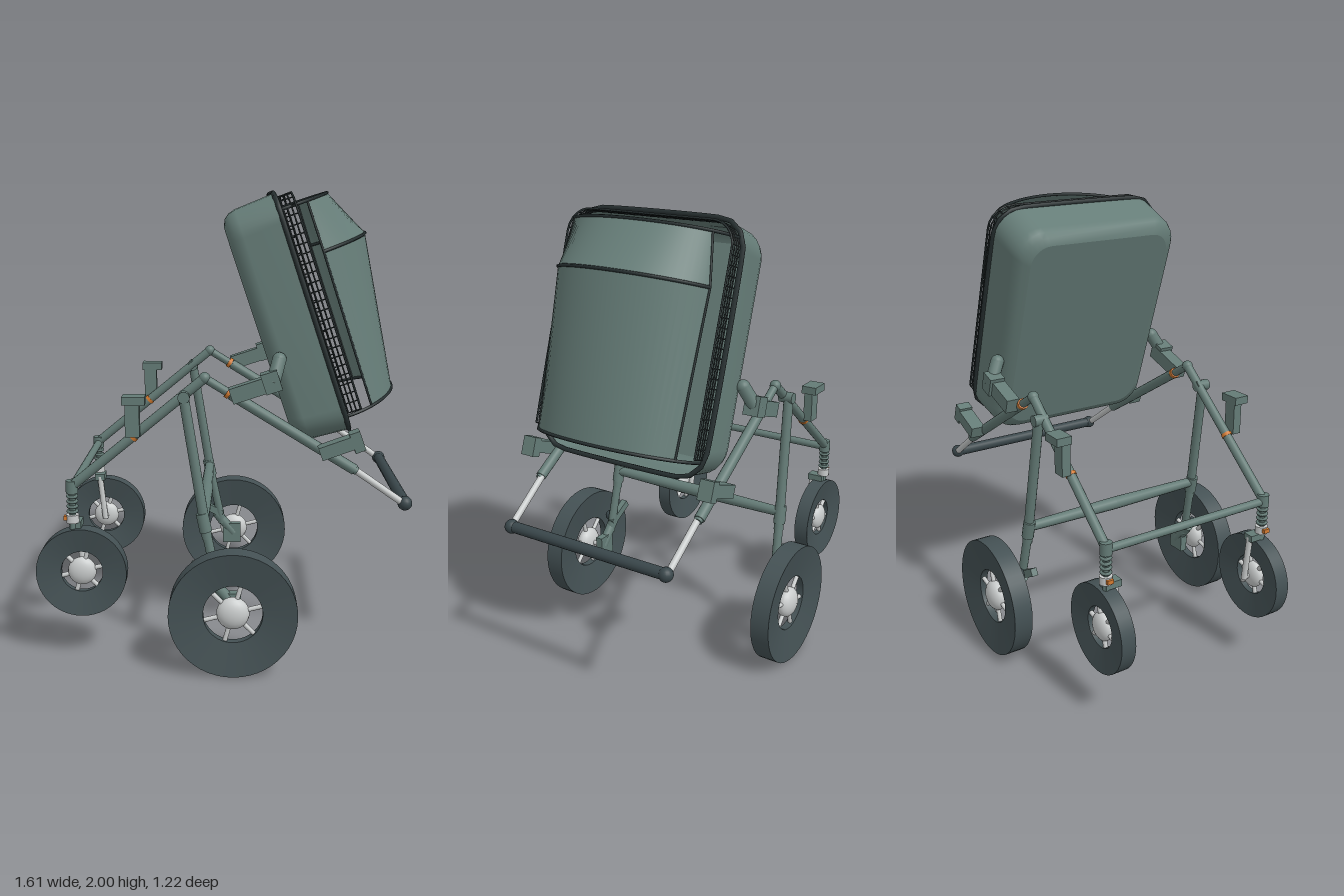
import * as THREE from 'three';

const mat = (name, color, side = THREE.FrontSide) => {
  const m = new THREE.MeshStandardMaterial({ color, side });
  m.name = name;
  return m;
};
const V = (x, y, z) => new THREE.Vector3(x, y, z);

export function createModel() {
  const body = mat('greyGreenFabric', 0x667d78, THREE.DoubleSide);
  const frame = mat('frameGreen', 0x647b76);
  const tyre = mat('tyreSlate', 0x445154);
  const dark = mat('darkTrim', 0x262f30);
  const grip = mat('gripSlate', 0x39464a);
  const silver = mat('hubSilver', 0xc9cccc);
  const orange = mat('orangeClip', 0xd27a30);

  const root = new THREE.Group();
  root.name = 'stroller';
  const add = (parent, name, geo, m, x = 0, y = 0, z = 0) => {
    const mesh = new THREE.Mesh(geo, m);
    mesh.name = name;
    mesh.position.set(x, y, z);
    parent.add(mesh);
    return mesh;
  };
  const rod = (parent, name, a, b, r, m, r2 = r, sides = 14) => {
    const d = b.clone().sub(a);
    const mesh = add(parent, name, new THREE.CylinderGeometry(r2, r, d.length(), sides), m);
    mesh.position.copy(a).addScaledVector(d, 0.5);
    mesh.quaternion.setFromUnitVectors(V(0, 1, 0), d.normalize());
    return mesh;
  };
  const box = (parent, name, w, h, d, x, y, z, m = frame, tilt = 0) => {
    const mesh = add(parent, name, new THREE.BoxGeometry(w, h, d), m, x, y, z);
    mesh.rotation.z = tilt;
    return mesh;
  };
  const ball = (parent, name, r, p, m) =>
    add(parent, name, new THREE.SphereGeometry(r, 18, 12), m, p.x, p.y, p.z);
  const tube = (parent, name, pts, r, m, closed = false) => add(parent, name,
    new THREE.TubeGeometry(new THREE.CatmullRomCurve3(pts, closed, 'centripetal'), pts.length * 2, r, 6, closed), m);

  // Smooth skin through rows of points
  const skin = (rows, closed) => {
    const n = rows[0].length, idx = [];
    for (let i = 0; i < rows.length - 1; i++)
      for (let j = 0; j < (closed ? n : n - 1); j++) {
        const a = i * n + j, b = i * n + (j + 1) % n;
        idx.push(a, b, a + n, b, b + n, a + n);
      }
    const g = new THREE.BufferGeometry().setFromPoints(rows.flat());
    g.setIndex(idx);
    g.computeVertexNormals();
    return g;
  };

  // Rounded rectangle in the seat's own frame: x is depth, y is length
  const loop = (x, hy, hz, r) => {
    const pts = [];
    [[1, 1], [-1, 1], [-1, -1], [1, -1]].forEach(([sy, sz], k) => {
      for (let i = 0; i <= 6; i++) {
        const a = k * Math.PI / 2 + i * Math.PI / 12;
        pts.push(V(x, sy * (hy - r) + r * Math.cos(a), sz * (hz - r) + r * Math.sin(a)));
      }
    });
    return pts;
  };

  // Reclined tub
  const seat = new THREE.Group();
  seat.name = 'carrycot';
  seat.position.set(0.367, 1.495, 0);
  seat.rotation.z = 0.326;
  root.add(seat);
  const tub = [[0, 0.52, 0.41, 0.12], [-0.17, 0.51, 0.405, 0.12], [-0.2, 0.502, 0.395, 0.115],
    [-0.222, 0.485, 0.378, 0.105], [-0.235, 0.455, 0.348, 0.09]].map(p => loop(...p));
  add(seat, 'tubWall', skin(tub, true), body);
  const capShape = new THREE.Shape(tub[4].map(p => new THREE.Vector2(p.z, p.y)));
  const cap = add(seat, 'tubBack', new THREE.ShapeGeometry(capShape), body, -0.235, 0, 0);
  cap.rotation.y = -Math.PI / 2;
  tube(seat, 'tubRim', loop(0, 0.52, 0.41, 0.12), 0.011, dark, true);

  // Ventilation mesh round the sides and the head end
  const mesh = new THREE.Group();
  mesh.name = 'ventMesh';
  seat.add(mesh);
  const path = x => {
    const l = loop(x, 0.5, 0.4, 0.1);
    return [V(x, -0.43, -0.4), ...l.slice(21), ...l.slice(0, 7), V(x, -0.43, 0.4)];
  };
  const uPath = x => {
    const c = new THREE.CurvePath(), p = path(x);
    for (let i = 0; i < p.length - 1; i++) c.add(new THREE.LineCurve3(p[i], p[i + 1]));
    return c;
  };
  [0.015, 0.032, 0.05, 0.07].forEach(x =>
    add(mesh, 'meshRail', new THREE.TubeGeometry(uPath(x), 90, x > 0.06 ? 0.005 : 0.0035, 5), dark));
  const inner = uPath(0.0).getSpacedPoints(64), outer = uPath(0.072).getSpacedPoints(64);
  inner.forEach((p, i) => rod(mesh, 'meshRung', p, outer[i], 0.003, dark, 0.003, 5));

  // Canopy: elliptical arcs, cut off above the mesh gap
  const arc = (y, h, cut) => {
    const t0 = Math.asin(cut / h), pts = [];
    for (let i = 0; i <= 28; i++) {
      const t = t0 + (Math.PI - 2 * t0) * i / 28;
      pts.push(V(h * Math.sin(t), y, 0.39 * Math.cos(t)));
    }
    return pts;
  };
  const hoops = [[0.449, 0.234], [0.234, 0.34], [-0.445, 0.254]];
  const arcs = hoops.map(([y, h]) => arc(y, h, 0.12));
  add(seat, 'canopyHead', skin([arcs[0], arcs[1]]), body);
  add(seat, 'canopyMain', skin([arcs[1], arcs[2]]), body);
  hoops.forEach(([y, h], i) => tube(seat, 'canopyHoop', arc(y, h, i === 1 ? 0.12 : 0), 0.007, dark));
  [0, 28].forEach(j => arcs.slice(1).forEach((a, i) => rod(seat, 'canopyEdge', arcs[i][j], a[j], 0.005, dark)));

  // Wheel with a dished tyre, spokes and a hub
  const wheel = (name, x, y, z, R, ri, w, hub) => {
    const g = new THREE.Group();
    g.name = name;
    g.position.set(x, y, z);
    root.add(g);
    const sides = [[ri, 0.2], [R, 0.5], [R, -0.5], [ri, -0.2], [ri, 0.2]];
    for (let i = 0; i < 4; i++) {
      const pts = [sides[i + 1], sides[i]].map(([r, f]) => new THREE.Vector2(r, f * w));
      add(g, 'tyre', new THREE.LatheGeometry(pts, 48), tyre).rotation.x = Math.PI / 2;
    }
    for (let i = 0; i < 6; i++) {
      const a = i * Math.PI / 3 + 0.25, c = Math.cos(a), s = Math.sin(a);
      rod(g, 'spoke', V(0, 0, 0), V(c * (ri + 0.005), s * (ri + 0.005), 0), 0.01, silver);
    }
    ball(g, 'hub', hub, V(0, 0, 0), silver).scale.z = w * 0.48 / hub;
  };

  // Chassis, mirrored to both sides
  for (const s of [1, -1]) {
    const P = (x, y, z) => V(x, y, s * z);
    const side = new THREE.Group();
    side.name = s > 0 ? 'leftChassis' : 'rightChassis';
    root.add(side);
    wheel('largeWheel', 0.04, 0.272, s * 0.568, 0.27, 0.125, 0.087, 0.07);
    wheel('smallWheel', -0.612, 0.395, s * 0.405, 0.195, 0.09, 0.068, 0.062);

    // Main tubes
    rod(side, 'frontTube', P(-0.645, 0.775, 0.41), P(-0.08, 1.24, 0.41), 0.021, frame);
    rod(side, 'handleTube', P(-0.08, 1.24, 0.41), P(0.56, 0.845, 0.41), 0.018, frame);
    rod(side, 'handleSleeve', P(0.03, 1.172, 0.41), P(0.55, 0.851, 0.41), 0.023, frame);
    rod(side, 'handleExtension', P(0.55, 0.851, 0.405), P(0.765, 0.7, 0.4), 0.015, silver);
    ball(side, 'handleJoint', 0.031, P(0.77, 0.7, 0.395), grip);
    ball(side, 'topHinge', 0.025, P(-0.08, 1.24, 0.41), frame);
    rod(side, 'legHinge', P(-0.165, 1.165, 0.395), P(-0.165, 1.165, 0.46), 0.025, frame);
    rod(side, 'legTube', P(-0.165, 1.16, 0.435), P(-0.07, 0.56, 0.455), 0.022, frame);
    rod(side, 'legSleeve', P(-0.092, 0.67, 0.452), P(-0.075, 0.59, 0.455), 0.027, frame);

    // Large wheel suspension
    rod(side, 'shockAbsorber', P(-0.072, 0.58, 0.455), P(-0.02, 0.33, 0.468), 0.02, frame);
    rod(side, 'trailingArm', P(-0.05, 0.38, 0.47), P(0.04, 0.272, 0.475), 0.024, frame);
    box(side, 'axleBlock', 0.09, 0.1, 0.035, 0.03, 0.275, s * 0.472);
    box(side, 'armPlate', 0.14, 0.035, 0.03, -0.08, 0.41, s * 0.462, frame, -0.5);
    ball(side, 'brakeKnob', 0.026, P(-0.05, 0.4, 0.488), grip);
    rod(side, 'axle', P(0.04, 0.272, 0.47), P(0.04, 0.272, 0.56), 0.012, silver);

    // Small wheel post with spring and clip
    rod(side, 'forkCap', P(-0.645, 0.745, 0.41), P(-0.645, 0.8, 0.41), 0.026, frame);
    rod(side, 'forkPost', P(-0.645, 0.58, 0.41), P(-0.645, 0.75, 0.41), 0.014, frame);
    for (let i = 0; i < 4; i++) {
      const coil = add(side, 'springCoil', new THREE.TorusGeometry(0.019, 0.007, 6, 18), frame, -0.645, 0.665 + i * 0.022, s * 0.41);
      coil.rotation.x = Math.PI / 2;
    }
    rod(side, 'forkCollar', P(-0.645, 0.615, 0.41), P(-0.645, 0.65, 0.41), 0.028, silver);
    box(side, 'forkClip', 0.025, 0.018, 0.03, -0.67, 0.635, s * 0.41, orange);
    box(side, 'forkBridge', 0.05, 0.03, 0.075, -0.635, 0.603, s * 0.38);
    rod(side, 'forkArm', P(-0.635, 0.605, 0.355), P(-0.612, 0.385, 0.355), 0.014, silver);
    rod(side, 'smallAxle', P(-0.612, 0.395, 0.35), P(-0.612, 0.395, 0.41), 0.014, silver);

    // Accessory bracket on the front tube
    box(side, 'bracketTop', 0.095, 0.035, 0.07, -0.37, 1.157, s * 0.458);
    box(side, 'bracketColumn', 0.06, 0.15, 0.04, -0.378, 1.075, s * 0.445);
    rod(side, 'tubeRing', P(-0.387, 0.987, 0.41), P(-0.376, 0.997, 0.41), 0.024, orange);
    rod(side, 'hingeRing', P(0.012, 1.183, 0.41), P(0.026, 1.174, 0.41), 0.0245, orange);

    // Carrycot mounts
    box(side, 'mountArm', 0.2, 0.065, 0.06, 0.125, 1.205, s * 0.453, frame, 0.32);
    box(side, 'mountBlock', 0.07, 0.085, 0.07, 0.195, 1.235, s * 0.46, frame, 0.32);
    rod(side, 'mountPost', P(0.2, 1.225, 0.47), P(0.228, 1.32, 0.42), 0.03, frame);
    ball(side, 'mountPostCap', 0.03, P(0.228, 1.32, 0.42), frame);
    box(side, 'footMount', 0.16, 0.055, 0.065, 0.475, 0.96, s * 0.452, frame, 0.35);
    box(side, 'footMountTip', 0.045, 0.085, 0.065, 0.552, 0.985, s * 0.452, frame, 0.35);
  }

  // Cross members
  rod(root, 'frontCrossbar', V(-0.645, 0.767, -0.41), V(-0.645, 0.767, 0.41), 0.018, frame);
  rod(root, 'legCrossbar', V(-0.085, 0.642, -0.45), V(-0.085, 0.642, 0), 0.022, frame, 0.029);
  rod(root, 'legCrossbar', V(-0.085, 0.642, 0.45), V(-0.085, 0.642, 0), 0.022, frame, 0.029);
  rod(root, 'handlebar', V(0.77, 0.7, -0.39), V(0.77, 0.7, 0.39), 0.025, grip);
  return root;
}
